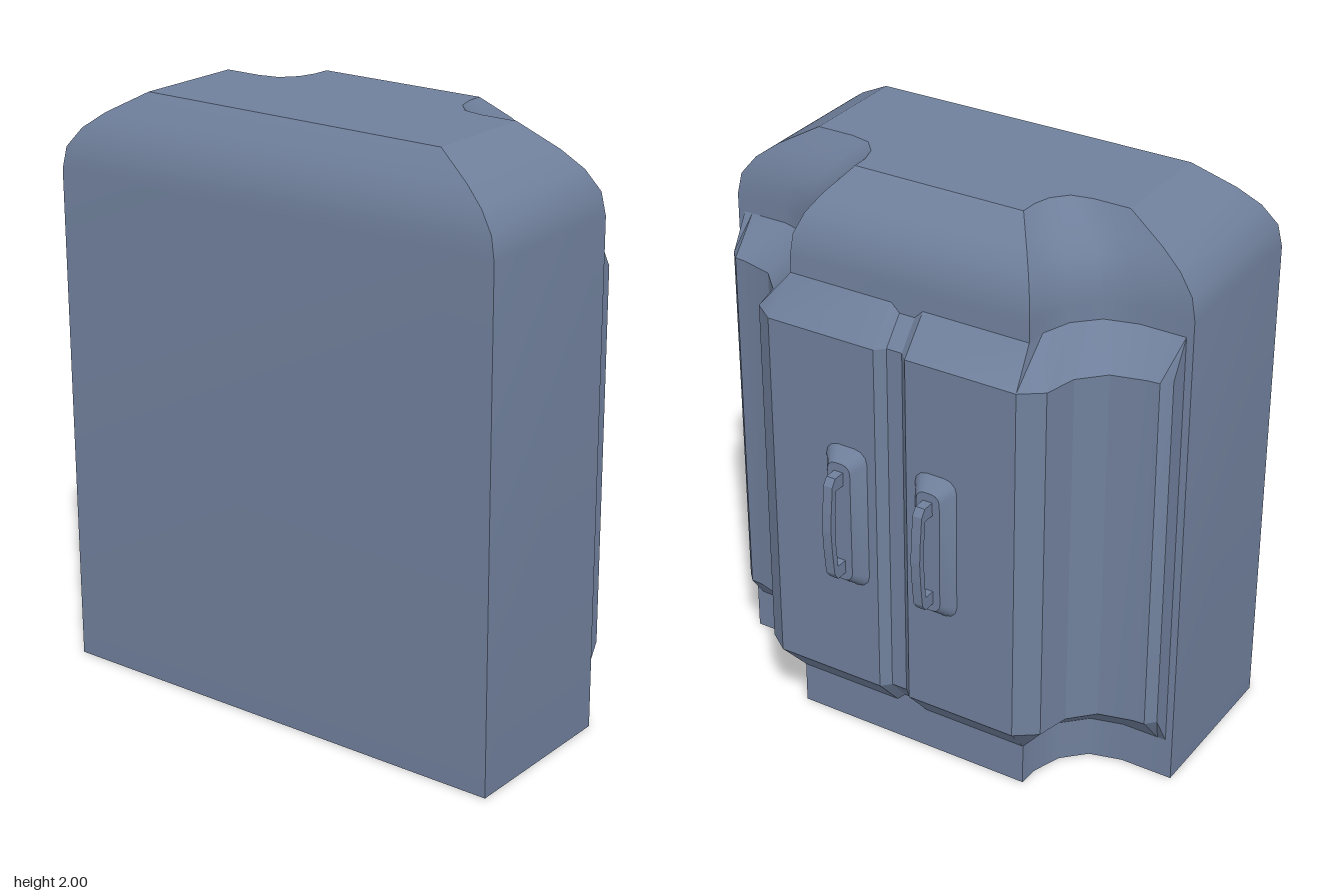
import * as THREE from 'three';
import { toCreasedNormals } from 'three/addons/utils/BufferGeometryUtils.js';

const slate = new THREE.MeshStandardMaterial({ color: 0x6f7f9b });
slate.name = 'slateBlue';

// Mirrors a right-hand outline [x, z] (front to back) into a closed loop.
const mirrored = (half) => [...half, ...half.map(([x, z]) => [-x, z]).reverse()];

function geometryFrom(positions) {
  const g = new THREE.BufferGeometry();
  g.setAttribute('position', new THREE.Float32BufferAttribute(positions, 3));
  g.computeVertexNormals();
  return g;
}

// Skins a stack of rings { y, pts } and closes both ends with sharp caps.
function loft(name, rings, crease = 0.6) {
  const group = new THREE.Group();
  group.name = name;
  const n = rings[0].pts.length;
  const at = (i, j) => {
    const [x, z] = rings[i].pts[j % n];
    return [x, rings[i].y, z];
  };
  const sides = [];
  for (let i = 0; i < rings.length - 1; i++) {
    for (let j = 0; j < n; j++) {
      const a = at(i, j), b = at(i, j + 1), c = at(i + 1, j + 1), d = at(i + 1, j);
      sides.push(...a, ...b, ...c, ...a, ...c, ...d);
    }
  }
  const add = (geometry, part) => {
    const mesh = new THREE.Mesh(geometry, slate);
    mesh.name = name + part;
    group.add(mesh);
  };
  add(toCreasedNormals(geometryFrom(sides), crease), 'Sides');
  for (const i of [0, rings.length - 1]) {
    const contour = rings[i].pts.map(([x, z]) => new THREE.Vector2(x, -z));
    const cap = [];
    for (const [a, b, c] of THREE.ShapeUtils.triangulateShape(contour, [])) {
      const order = i === 0 ? [a, c, b] : [a, b, c];
      order.forEach((k) => cap.push(...at(i, k)));
    }
    add(geometryFrom(cap), i === 0 ? 'Bottom' : 'Top');
  }
  return group;
}

// Cabinet body: straight walls, then a rounded shoulder towards a smaller top
function makeBody() {
  const base = mirrored([[0.845, 0.55], [0.845, -0.045], [0.66, -0.045], [0.55, -0.075],
    [0.475, -0.15], [0.44, -0.25], [0.437, -0.325]]);
  const top = mirrored([[0.57, 0.43], [0.57, 0.04], [0.44, 0.04], [0.37, 0.025],
    [0.325, -0.025], [0.307, -0.085], [0.305, -0.145]]);
  const steps = [[0, 0], [1.73, 0], [1.805, 0.055], [1.87, 0.24], [1.925, 0.51], [2, 1]];
  return loft('body', steps.map(([y, t]) => ({
    y,
    pts: base.map(([x, z], k) => [x + (top[k][0] - x) * t, z + (top[k][1] - z) * t]),
  })));
}

// Rear door panel: follows the curved back, bevelled above and below, with a centre seam
function makeDoors() {
  const outer = mirrored([[0.82, -0.03], [0.82, -0.115], [0.79, -0.147], [0.75, -0.15],
    [0.635, -0.18], [0.558, -0.26], [0.53, -0.375], [0.455, -0.43], [0.058, -0.43], [0.028, -0.4]]);
  const inner = mirrored([[0.82, -0.03], [0.82, -0.045], [0.79, -0.045], [0.66, -0.045],
    [0.55, -0.075], [0.475, -0.15], [0.44, -0.25], [0.437, -0.325], [0.058, -0.325], [0.028, -0.3]]);
  return loft('doors', [
    { y: 0.15, pts: inner }, { y: 0.27, pts: outer },
    { y: 1.55, pts: outer }, { y: 1.67, pts: inner },
  ], 0.5);
}

// Rounded rectangle loop, w and h being half sizes
function roundedLoop(w, h, r) {
  const pts = [];
  [[1, 1], [1, -1], [-1, -1], [-1, 1]].forEach(([sx, sz], q) => {
    for (let k = 0; k <= 3; k++) {
      const a = Math.PI / 2 - (q - 1) * Math.PI / 2 - Math.PI / 2 - k * Math.PI / 6;
      pts.push([sx * (w - r) + r * Math.cos(a), sz * (h - r) + r * Math.sin(a)]);
    }
  });
  return pts;
}

// Bevelled mounting plate with a bowed pull handle
function makeHandle(x) {
  const group = new THREE.Group();
  group.name = 'handle';
  const plate = loft('handlePlate', [
    { y: 0, pts: roundedLoop(0.078, 0.26, 0.045) },
    { y: 0.048, pts: roundedLoop(0.043, 0.22, 0.03) },
  ]);
  plate.rotation.x = -Math.PI / 2;
  plate.position.set(x, 0.91, -0.429);

  const arc = [[0, 0.19], [0.044, 0.19], [0.062, 0.165], [0.072, 0.07]];
  const inside = [[0.05, 0.06], [0.042, 0.143], [0, 0.143]];
  const flip = (list) => list.map(([u, v]) => [u, -v]).reverse();
  const outline = [...arc, [0.076, 0], ...flip(arc), ...flip(inside), ...inside];
  const shape = new THREE.Shape(outline.map(([u, v]) => new THREE.Vector2(u, v)));
  const bar = new THREE.Mesh(
    new THREE.ExtrudeGeometry(shape, { depth: 0.034, bevelEnabled: false }), slate);
  bar.name = 'handleBar';
  bar.rotation.y = Math.PI / 2;
  bar.position.set(x - 0.017, 0.91, -0.476);
  group.add(plate, bar);
  return group;
}

export function createModel() {
  const model = new THREE.Group();
  model.name = 'cabinet';
  model.add(makeBody(), makeDoors(), makeHandle(0.168), makeHandle(-0.168));
  return model;
}
